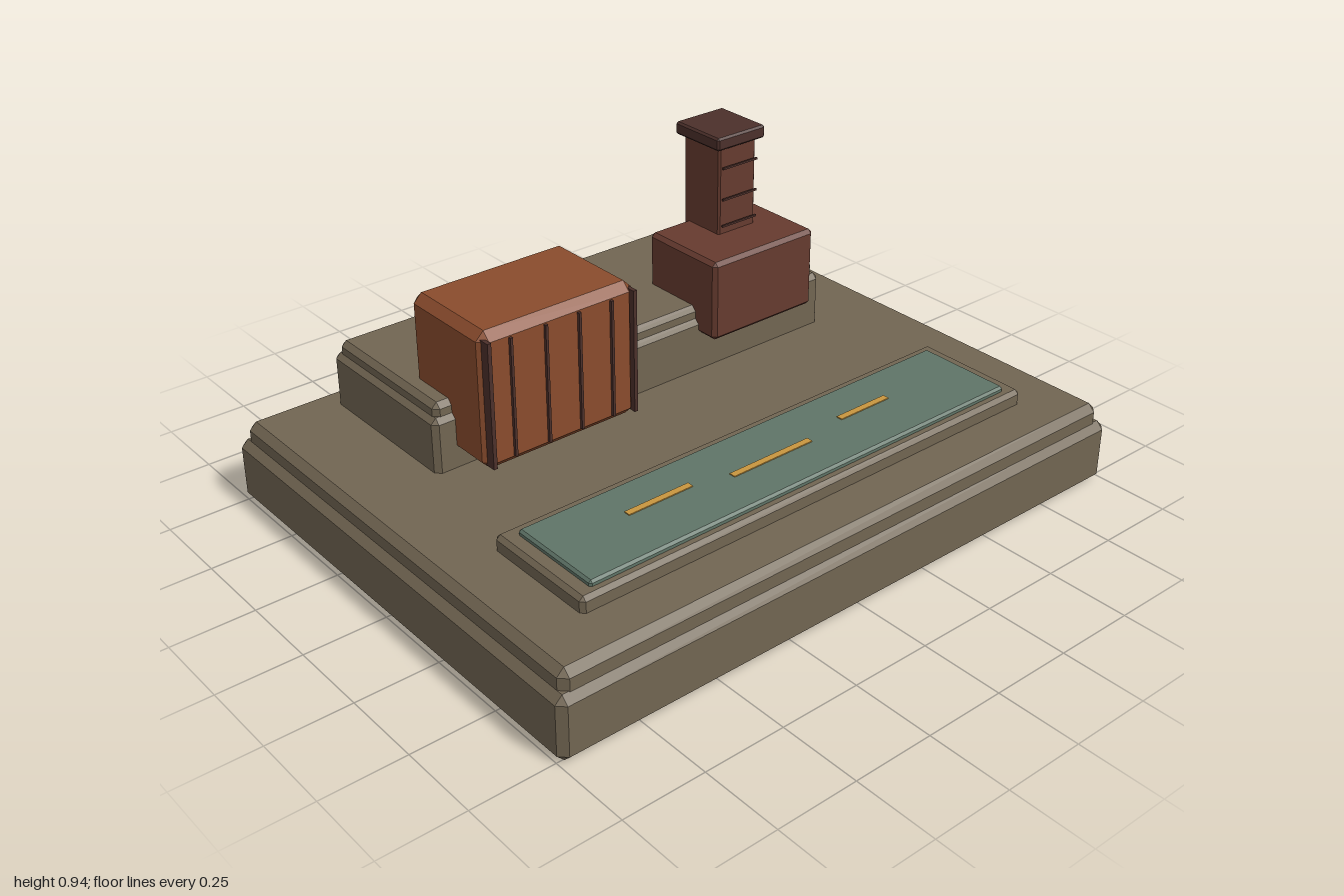
import * as THREE from 'three';
import { ConvexGeometry } from 'three/addons/geometries/ConvexGeometry.js';

function material(name, color) {
  const m = new THREE.MeshStandardMaterial({ color });
  m.name = name;
  return m;
}

// Box with every edge cut at 45 degrees
function bevelledBox(w, h, d, c) {
  const points = [];
  for (const x of [-1, 1]) for (const y of [-1, 1]) for (const z of [-1, 1]) {
    const a = w / 2, b = h / 2, e = d / 2;
    points.push(
      new THREE.Vector3(x * a, y * (b - c), z * (e - c)),
      new THREE.Vector3(x * (a - c), y * b, z * (e - c)),
      new THREE.Vector3(x * (a - c), y * (b - c), z * e));
  }
  return new ConvexGeometry(points);
}

export function createModel() {
  const root = new THREE.Group();
  root.name = 'industrialYard';
  const stone = material('stone', 0x716552);
  const water = material('water', 0x5f7467);
  const rust = material('rust', 0x8a4c2d);
  const brick = material('brick', 0x663b2f);
  const iron = material('darkIron', 0x4c302b);
  const amber = material('amber', 0xc8963f);

  // Each part is given by its extents on the three axes and its bevel
  function add(parent, name, mat, [x0, x1], [y0, y1], [z0, z1], bevel = 0) {
    const w = x1 - x0, h = y1 - y0, d = z1 - z0;
    const geometry = bevel ? bevelledBox(w, h, d, bevel) : new THREE.BoxGeometry(w, h, d);
    const mesh = new THREE.Mesh(geometry, mat);
    mesh.name = name;
    mesh.position.set((x0 + x1) / 2, (y0 + y1) / 2, (z0 + z1) / 2);
    parent.add(mesh);
    return mesh;
  }
  function group(name) {
    const g = new THREE.Group();
    g.name = name;
    root.add(g);
    return g;
  }

  // Stepped plinth
  const plinth = group('plinth');
  add(plinth, 'lowerSlab', stone, [-1, 1], [0, 0.195], [-0.775, 0.775], 0.022);
  add(plinth, 'upperSlab', stone, [-0.978, 0.978], [0.14, 0.253], [-0.755, 0.755], 0.022);

  // Raised terrace at the back
  const terrace = group('terrace');
  add(terrace, 'terraceBody', stone, [-0.718, 0.718], [0.23, 0.42], [-0.68, -0.155], 0.016);
  add(terrace, 'terraceTop', stone, [-0.703, 0.703], [0.38, 0.458], [-0.668, -0.17], 0.016);

  // Shallow channel at the front
  const channel = group('channel');
  add(channel, 'channelRim', stone, [-0.802, 0.802], [0.24, 0.298], [0.233, 0.603], 0.012);
  add(channel, 'waterSurface', water, [-0.755, 0.755], [0.288, 0.314], [0.273, 0.575], 0.007);
  for (const [x0, x1, z] of [[-0.5, -0.285, 0.398], [-0.17, 0.115, 0.434], [0.26, 0.447, 0.402]]) {
    add(channel, 'glint', amber, [x0, x1], [0.313, 0.317], [z - 0.01, z + 0.01]);
  }

  // Rusty shed with upright ribs on its front
  const shed = group('shed');
  add(shed, 'shedBody', rust, [-0.65, -0.135], [0.297, 0.715], [-0.352, -0.008], 0.026);
  for (const x of [-0.56, -0.446, -0.335, -0.225]) {
    add(shed, 'seam', iron, [x - 0.004, x + 0.004], [0.325, 0.685], [-0.012, 0.001]);
  }
  for (const x of [-0.634, -0.151]) {
    add(shed, 'cornerPost', iron, [x - 0.006, x + 0.006], [0.315, 0.695], [-0.034, 0.006]);
  }

  // Brick furnace with chimney
  const furnace = group('furnace');
  add(furnace, 'furnaceBody', brick, [0.218, 0.613], [0.374, 0.626], [-0.384, -0.084], 0.012);
  add(furnace, 'chimneyStack', brick, [0.364, 0.508], [0.567, 0.91], [-0.395, -0.236], 0.006);
  add(furnace, 'chimneyCap', iron, [0.344, 0.529], [0.901, 0.941], [-0.413, -0.219], 0.006);
  for (const y of [0.655, 0.74, 0.84]) {
    add(furnace, 'chimneyRung', iron, [0.37, 0.503], [y - 0.003, y + 0.003], [-0.229, -0.223]);
  }
  return root;
}
